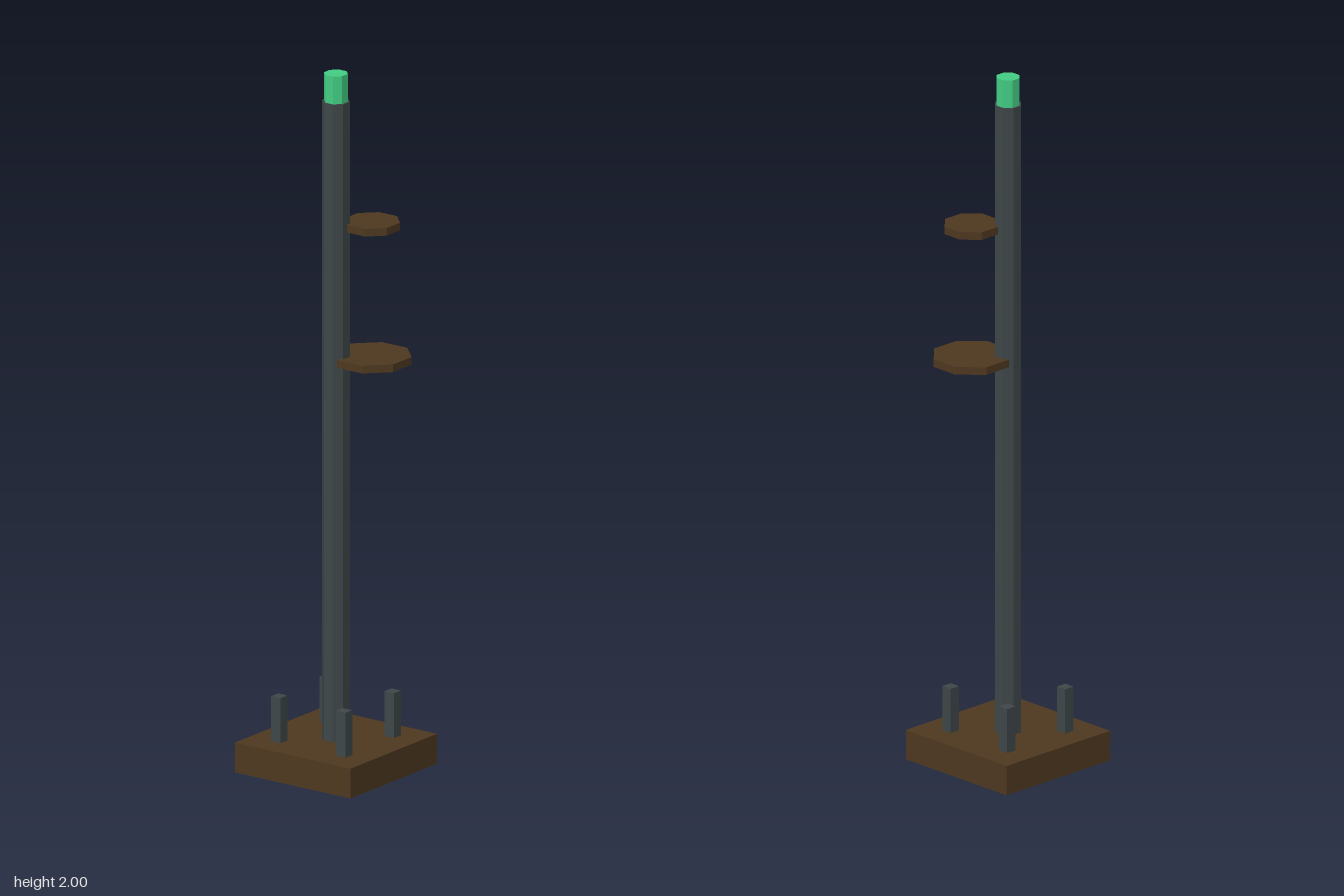
import * as THREE from 'three';

const wood = new THREE.MeshStandardMaterial({ color: 0x4e3820, name: 'darkWood', flatShading: true });
const metal = new THREE.MeshStandardMaterial({ color: 0x3e4648, name: 'darkMetal', flatShading: true });
const green = new THREE.MeshStandardMaterial({ color: 0x42cc82, name: 'glowGreen', flatShading: true });

export function createModel() {
  const model = new THREE.Group();
  model.name = 'lampPole';

  const add = (name, geometry, material, x, y, z) => {
    const mesh = new THREE.Mesh(geometry, material);
    mesh.name = name;
    mesh.position.set(x, y, z);
    model.add(mesh);
  };

  // Octagonal prism with flats facing the axes, from y0 to y1
  const octagon = (name, apothem, y0, y1, material, x = 0, z = 0) => {
    const geometry = new THREE.CylinderGeometry(1, 1, y1 - y0, 8);
    const r = apothem / Math.cos(Math.PI / 8);
    geometry.rotateY(Math.PI / 8).scale(r, 1, r);
    add(name, geometry, material, x, (y0 + y1) / 2, z);
  };

  // Square base with four corner pegs
  add('base', new THREE.BoxGeometry(0.396, 0.086, 0.396), wood, 0, 0.043, 0);
  for (const x of [-0.111, 0.111]) {
    for (const z of [-0.111, 0.111]) {
      add('peg', new THREE.BoxGeometry(0.032, 0.13, 0.032), metal, x, 0.15, z);
    }
  }

  // Pole and its tip
  octagon('pole', 0.036, 0.08, 1.92, metal);
  octagon('tip', 0.031, 1.91, 2, green);

  // Offset shelves on the front left of the pole
  octagon('lowerShelf', 0.103, 1.165, 1.187, wood, 0.071, 0.071);
  octagon('upperShelf', 0.073, 1.549, 1.571, wood, 0.071, 0.071);

  return model;
}
